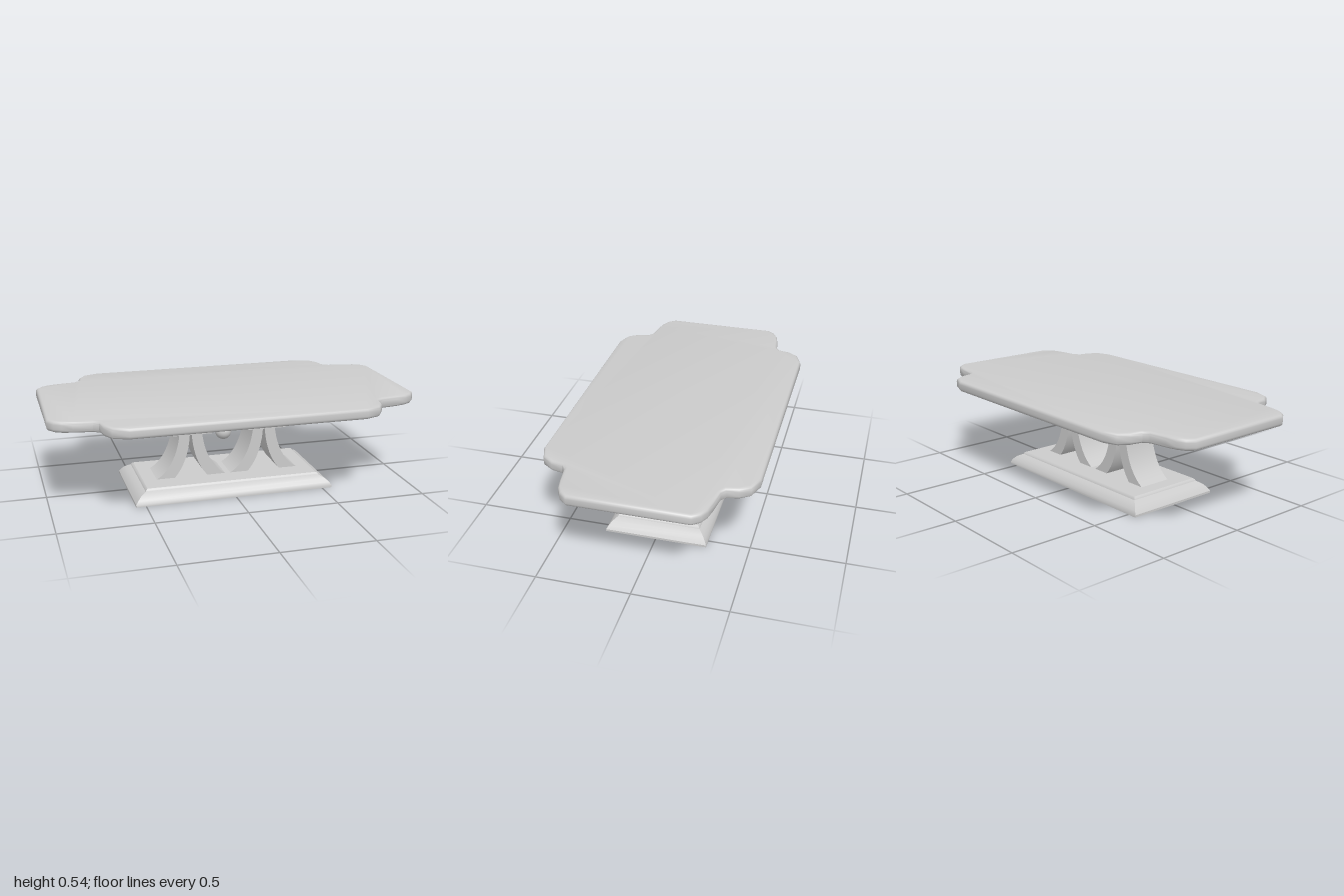
import * as THREE from 'three';
import { toCreasedNormals } from 'three/addons/utils/BufferGeometryUtils.js';

const material = new THREE.MeshStandardMaterial({ color: 0xcccccc });

function add(parent, name, geometry, x = 0, y = 0, z = 0) {
  const mesh = new THREE.Mesh(geometry, material);
  mesh.name = name;
  mesh.position.set(x, y, z);
  parent.add(mesh);
  return mesh;
}

// Top: one corner of the scalloped outline, mirrored to all four, with rounded edges
function tableTopGeometry() {
  const corner = [[1, 0.305], [0.97, 0.345], [0.93, 0.367], [0.875, 0.38], [0.78, 0.394],
    [0.752, 0.415], [0.74, 0.475], [0.705, 0.53], [0.625, 0.56]];
  const mirrored = (sx, sy) => corner.map(([x, y]) => new THREE.Vector2(x * sx, y * sy));
  const outline = [
    ...mirrored(1, 1), ...mirrored(-1, 1).reverse(),
    ...mirrored(-1, -1), ...mirrored(1, -1).reverse(),
  ];
  const bevel = 0.018;
  const geometry = new THREE.ExtrudeGeometry(new THREE.Shape(outline), {
    depth: 0.06 - 2 * bevel, bevelThickness: bevel, bevelSize: bevel,
    bevelOffset: -bevel, bevelSegments: 4,
  });
  geometry.translate(0, 0, bevel).rotateX(-Math.PI / 2);
  return toCreasedNormals(geometry, 0.75);
}

// Plinth: a box whose height levels follow a moulded profile of [inset, y]
function plinthGeometry() {
  const profile = [[0, 0], [0, 0.012], [0.01, 0.03], [0.025, 0.048], [0.043, 0.06],
    [0.05, 0.064], [0.053, 0.072], [0.06, 0.078]];
  const levels = profile.length - 1;
  const geometry = new THREE.BoxGeometry(2, 1, 2, 1, levels, 1);
  const p = geometry.attributes.position;
  for (let i = 0; i < p.count; i++) {
    const [inset, y] = profile[Math.round((p.getY(i) + 0.5) * levels)];
    p.setXYZ(i, Math.sign(p.getX(i)) * (0.555 - 1.25 * inset), y,
      Math.sign(p.getZ(i)) * (0.275 - inset));
  }
  return toCreasedNormals(geometry, 0.6);
}

// Leg: flared curve in the front plane, extruded through the depth; side is 1 or -1
function legGeometry(side) {
  const s = new THREE.Shape();
  s.moveTo(side * 0.21, 0.07);
  s.bezierCurveTo(side * 0.11, 0.115, side * 0.04, 0.26, side * 0.066, 0.48);
  s.lineTo(side * 0.011, 0.48);
  s.bezierCurveTo(side * -0.012, 0.29, side * 0.022, 0.15, side * 0.1, 0.07);
  s.closePath();
  const geometry = new THREE.ExtrudeGeometry(s, { depth: 0.19, bevelEnabled: false, curveSegments: 14 });
  geometry.translate(0, 0, -0.095);
  return toCreasedNormals(geometry, 0.6);
}

export function createModel() {
  const model = new THREE.Group();
  model.name = 'pedestalTable';

  add(model, 'tableTop', tableTopGeometry(), 0, 0.475);
  add(model, 'plinth', plinthGeometry());
  add(model, 'centreBall', new THREE.SphereGeometry(0.046, 24, 16), 0, 0.295);

  // Two pedestals, each a pair of flared legs bound by four flat collars
  for (const side of [-1, 1]) {
    const pedestal = new THREE.Group();
    pedestal.name = side > 0 ? 'leftPedestal' : 'rightPedestal';
    pedestal.position.x = side * 0.21;
    model.add(pedestal);
    for (const legSide of [-1, 1]) {
      add(pedestal, legSide > 0 ? 'leftLeg' : 'rightLeg', legGeometry(legSide));
    }
    for (let i = 0; i < 4; i++) {
      add(pedestal, `collar${i + 1}`, new THREE.BoxGeometry(0.222, 0.015, 0.286), 0, 0.342 + i * 0.022);
    }
  }
  return model;
}
